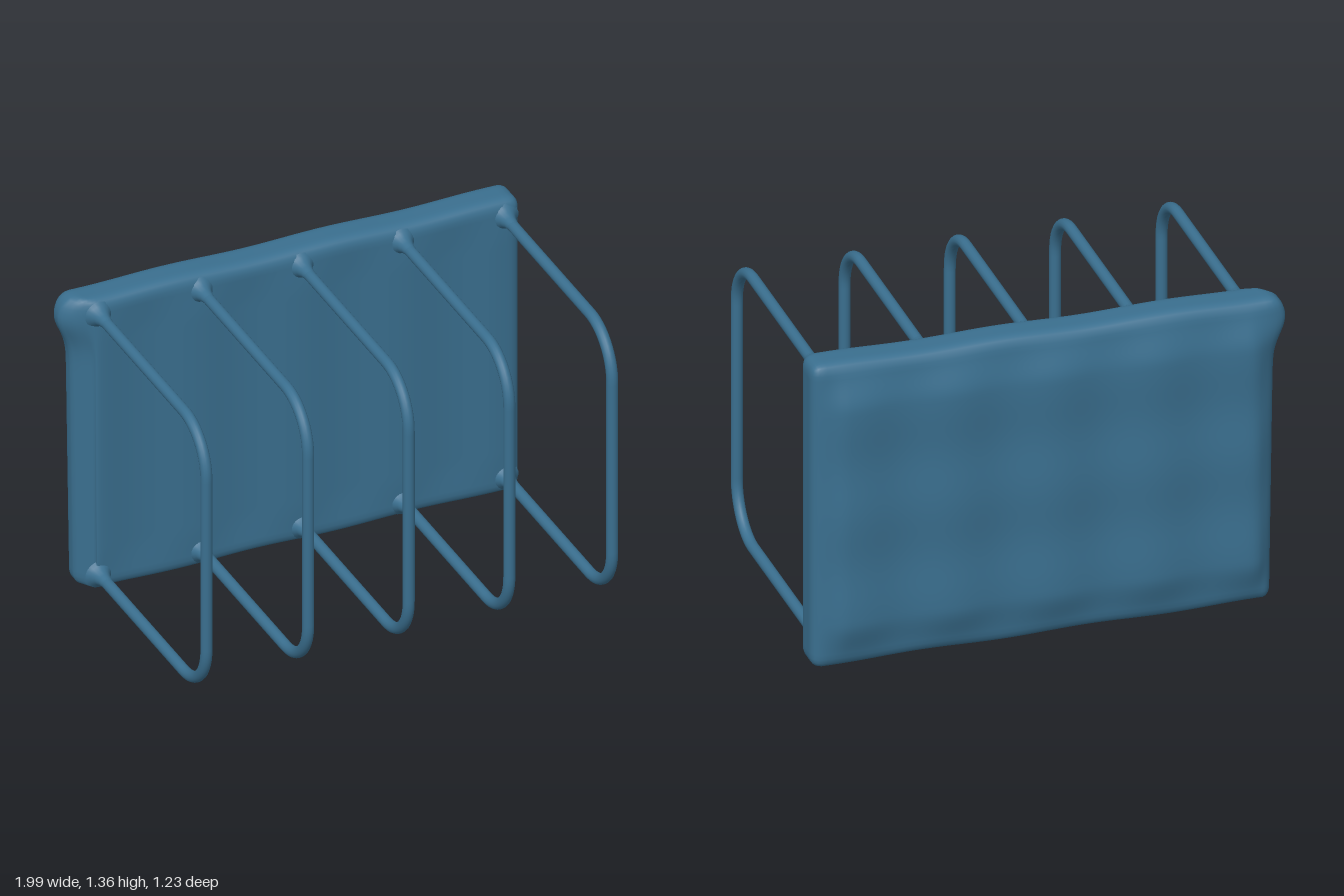
import * as THREE from 'three';
import { mergeVertices } from 'three/addons/utils/BufferGeometryUtils.js';

const material = new THREE.MeshStandardMaterial({ color: 0x3a6f8f });
const { clamp, smoothstep } = THREE.MathUtils;

// Back panel: a softened slab with a rippled, slightly pillowed rear and a bevelled end
function makePanel() {
  const half = new THREE.Vector3(0.98, 0.675, 0.08), r = 0.045;
  const box = new THREE.BoxGeometry(half.x * 2, half.y * 2, half.z * 2, 90, 62, 10);
  box.deleteAttribute('uv');
  box.deleteAttribute('normal');
  const geo = mergeVertices(box);
  const pos = geo.attributes.position;
  const p = new THREE.Vector3(), inner = new THREE.Vector3();
  for (let i = 0; i < pos.count; i++) {
    p.fromBufferAttribute(pos, i);
    inner.set(...['x', 'y', 'z'].map(a => clamp(p[a], r - half[a], half[a] - r)));
    p.sub(inner).normalize().multiplyScalar(r).add(inner);

    // pillow and vertical ripples on the rear, a light swell on the front
    const edge = smoothstep(half.x - Math.abs(p.x), 0, 0.14) * smoothstep(half.y - Math.abs(p.y), 0, 0.2);
    const rear = clamp(-p.z / half.z, 0, 1), front = clamp(p.z / half.z, 0, 1);
    const ripple = Math.cos((p.x + 0.03) * 15) * 0.009 + Math.cos(p.y * 14) * 0.004;
    p.z += -rear * edge * (0.031 + ripple) + front * edge * 0.006 * Math.cos(p.x * 14);

    // bevelled end, drawn out to a small beak near the top
    const end = smoothstep(-p.x, 0.86, 0.98);
    const height = p.y + half.y;
    const beak = Math.exp(-(((height - 1.25) / 0.1) ** 2));
    p.x += end * (0.04 - 0.05 * beak - 0.02 * height / 1.35 + front * 0.05);
    p.z -= end * front * 0.02;
    p.y += 0.004 * Math.sin(p.x * 9) * Math.sign(p.y) * smoothstep(Math.abs(p.y), 0.5, 0.67);
    pos.setXYZ(i, p.x + 0.008, p.y + 0.683, p.z - 0.495);
  }
  geo.computeVertexNormals();
  return geo;
}

// Wire loop: out from the panel, round two bends and back again
function makeHoop() {
  const V = (y, z) => new THREE.Vector3(0, y, z);
  const top = 1.285, low = 0.075, front = 0.587, bend = 0.21, k = bend * 0.45;
  const path = new THREE.CurvePath();
  path.add(new THREE.LineCurve3(V(top, -0.45), V(top - 0.005, front - bend)));
  path.add(new THREE.CubicBezierCurve3(V(top - 0.005, front - bend), V(top - 0.005, front - k),
    V(top - k, front), V(top - bend, front)));
  path.add(new THREE.LineCurve3(V(top - bend, front), V(low + bend, front)));
  path.add(new THREE.CubicBezierCurve3(V(low + bend, front), V(low + k, front),
    V(low, front - k), V(low, front - bend)));
  path.add(new THREE.LineCurve3(V(low, front - bend), V(low + 0.005, -0.45)));
  return new THREE.TubeGeometry(path, 120, 0.024, 14);
}

// Flared collar blending a wire into the panel
function makeCollar() {
  const profile = [[0.06, 0], [0.047, 0.012], [0.035, 0.03], [0.027, 0.055], [0.023, 0.085]];
  const geo = new THREE.LatheGeometry(profile.map(([x, y]) => new THREE.Vector2(x, y)), 18);
  return geo.rotateX(Math.PI / 2);
}

export function createModel() {
  const model = new THREE.Group();
  model.name = 'wireRack';
  const add = (parent, geo, name) => {
    const mesh = new THREE.Mesh(geo, material);
    mesh.name = name;
    parent.add(mesh);
    return mesh;
  };

  add(model, makePanel(), 'backPanel');

  const hoop = makeHoop(), collar = makeCollar();
  [-0.855, -0.41, 0.03, 0.47, 0.92].forEach((x, i) => {
    const divider = new THREE.Group();
    divider.name = `divider${i + 1}`;
    divider.position.x = x;
    add(divider, hoop, 'wireHoop');
    add(divider, collar, 'upperCollar').position.set(0, 1.285, -0.425);
    add(divider, collar, 'lowerCollar').position.set(0, 0.08, -0.425);
    model.add(divider);
  });
  return model;
}
